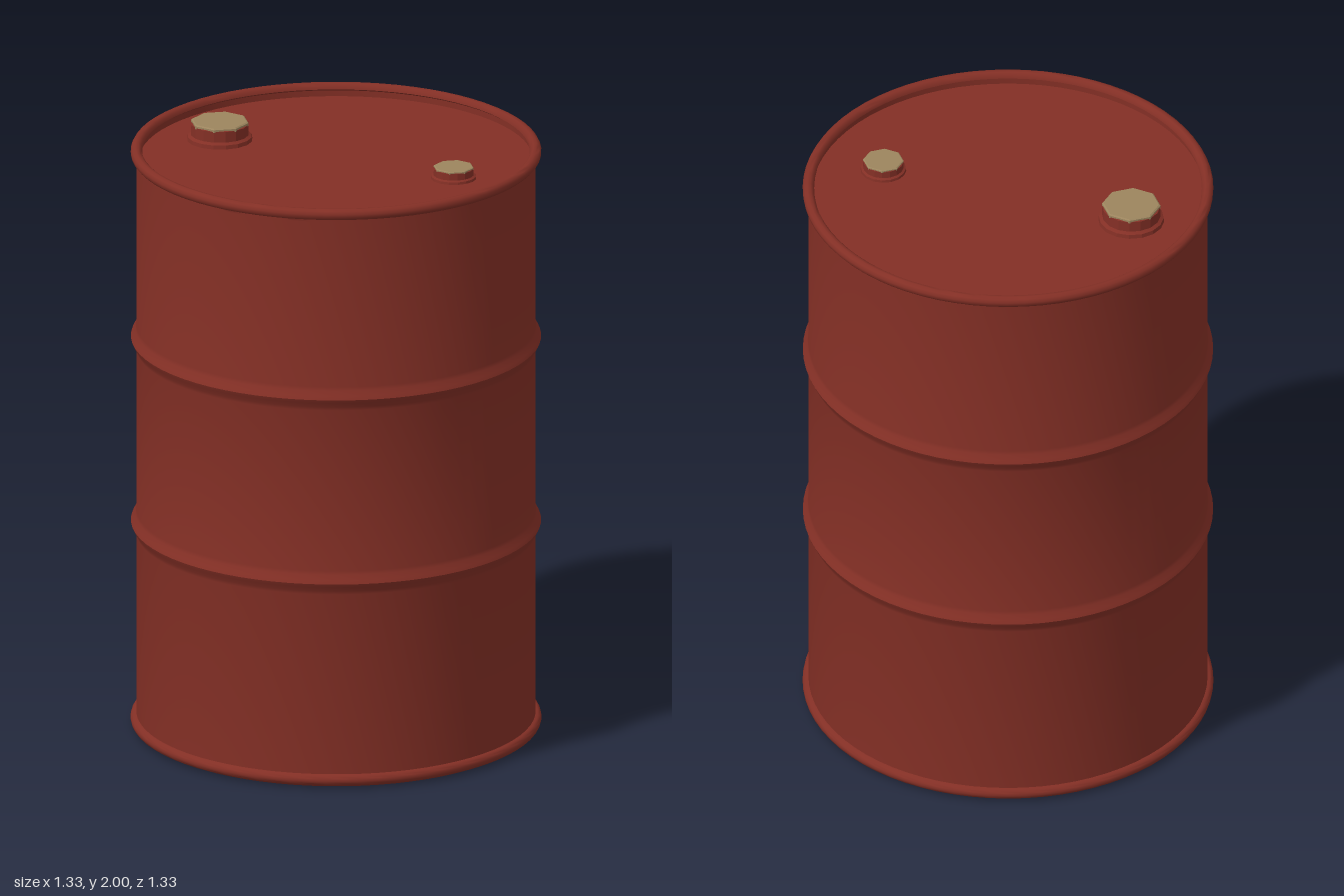
import * as THREE from 'three';
import { toCreasedNormals } from 'three/addons/utils/BufferGeometryUtils.js';

const red = new THREE.MeshStandardMaterial({ color: 0x832f25 });
red.name = 'red paint';
const tan = new THREE.MeshStandardMaterial({ color: 0x9c855e });
tan.name = 'tan metal';

function lathe(name, points, material, sides = 64, crease = 0.6) {
  const profile = points.map(([r, y]) => new THREE.Vector2(r, y));
  const geometry = toCreasedNormals(new THREE.LatheGeometry(profile, sides), crease);
  const mesh = new THREE.Mesh(geometry, material);
  mesh.name = name;
  return mesh;
}

// Rounded bulge around the wall, listed from bottom to top
function rib(y) {
  return [[0.648, y - 0.04], [0.651, y - 0.028], [0.661, y - 0.012], [0.666, y],
    [0.661, y + 0.012], [0.651, y + 0.028], [0.648, y + 0.04]];
}

// Rolled edge: an arc from the lower wall over the outside to the inside
function rolledRim(y, from, to) {
  return Array.from({ length: 9 }, (_, i) => {
    const a = from + (to - from) * i / 8;
    return [0.648 + 0.019 * Math.cos(a), y + 0.019 * Math.sin(a)];
  });
}

// Eight-sided screw plug with a gasket, a flared collar and a flat cap
function bung(name, x, z, radius, base, height) {
  const group = new THREE.Group();
  group.name = name;
  const r = radius, h = height;
  group.add(
    lathe(name + 'Gasket', [[r * 1.08, 0], [r * 1.08, h * 0.12], [r * 0.9, h * 0.12]], tan, 8, 0.3),
    lathe(name + 'Collar', [[r * 1.13, 0], [r * 1.11, h * 0.2], [r * 1.0, h * 0.3],
      [r * 0.99, h * 0.85], [r * 0.9, h * 0.88]], red, 16, 0.3),
    lathe(name + 'Cap', [[r, h * 0.8], [r, h * 0.95], [r * 0.95, h], [0, h]], tan, 8, 0.3),
  );
  group.position.set(x, base, z);
  group.rotation.y = 0.2;
  return group;
}

export function createModel() {
  const drum = new THREE.Group();
  drum.name = 'drum';
  const lidY = 1.935;

  // Wall with two ribs and a rolled rim at each end
  drum.add(lathe('barrelWall', [
    [0.636, 0.005], ...rolledRim(0.026, -Math.PI / 2, Math.PI / 2), [0.648, 0.052],
    ...rib(0.7), ...rib(1.33),
    [0.648, 1.935], ...rolledRim(1.961, -Math.PI / 2, Math.PI),
    [0.638, 1.955], [0.638, lidY],
  ], red, 72, 0.7));

  // Recessed lid and flat bottom
  drum.add(lathe('lid', [[0.64, lidY], [0, lidY]], red, 72));
  drum.add(lathe('bottom', [[0, 0], [0.636, 0], [0.645, 0.008]], red, 72));

  // Large filler plug at the back and small vent plug at the front
  drum.add(bung('largeBung', -0.275, -0.325, 0.095, lidY, 0.065));
  drum.add(bung('smallBung', 0.28, 0.325, 0.066, lidY, 0.04));
  return drum;
}
